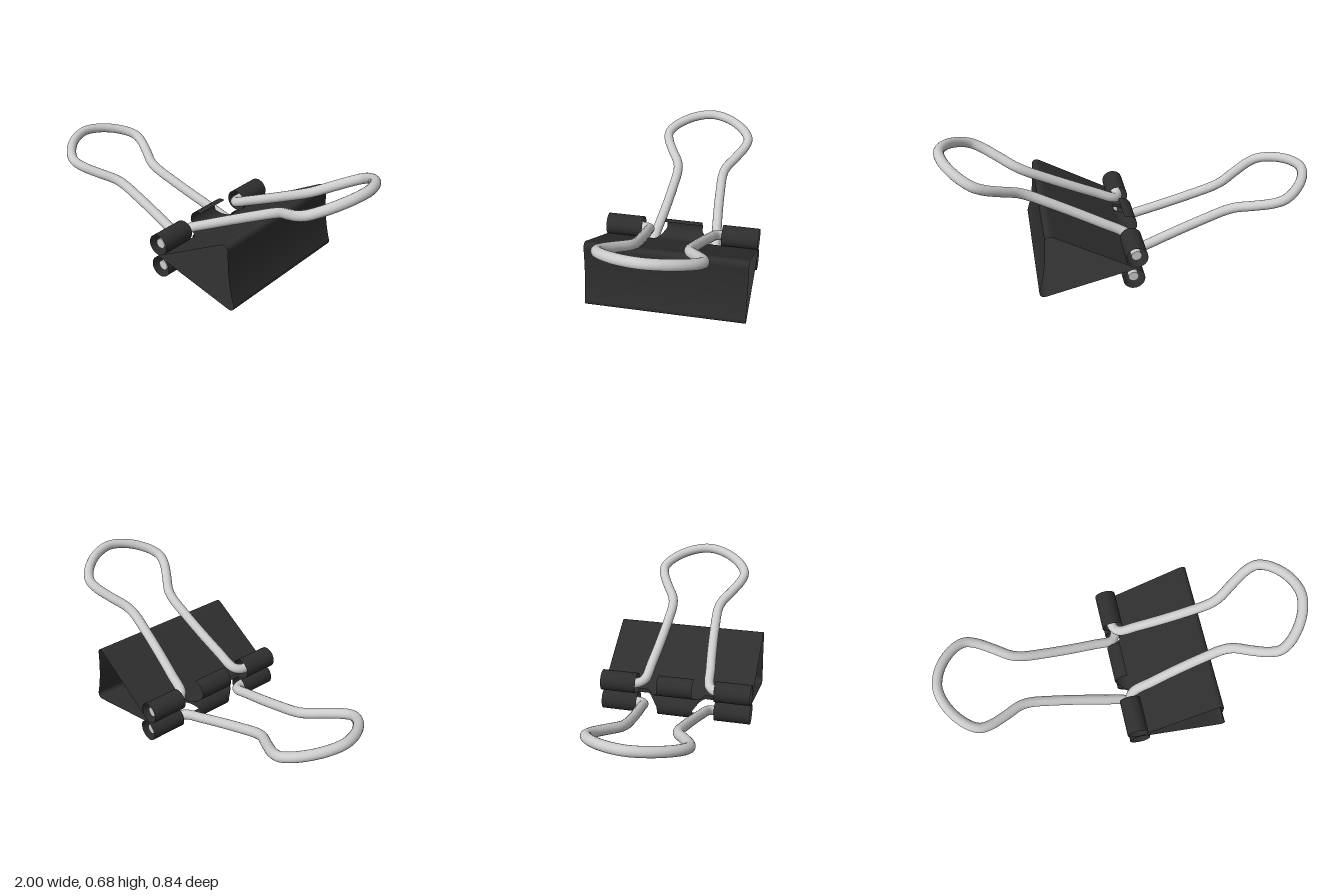
import * as THREE from 'three';
import { ParametricGeometry } from 'three/addons/geometries/ParametricGeometry.js';

const steel = new THREE.MeshStandardMaterial({ color: 0xcccccc });
const black = new THREE.MeshStandardMaterial({ color: 0x2e2e2e, side: THREE.DoubleSide });

const HALF = 0.42;    // half width of the clip
const WIRE = 0.027;   // handle wire radius

// The two jaws: curl centre, curl radius, where the curl leaves the sheet,
// the way it rolls, and the tip of its handle.
const jaws = [
  { name: 'upper', c: [0.02, 0.187], r: 0.057, start: -Math.PI / 3, dir: -1, tip: [0.972, 0.66] },
  { name: 'lower', c: [0.035, 0.061], r: 0.057, start: 1.33, dir: 1, tip: [-0.973, 0.405] },
];

const onCurl = (j, a) => [j.c[0] + j.r * Math.cos(a), j.c[1] + j.r * Math.sin(a)];

// Thin sheet following pointAt(t) in x/y and spanning zRange(t) in z.
function sheet(name, pointAt, zRange, segments) {
  const geometry = new ParametricGeometry((t, v, target) => {
    const [x, y] = pointAt(t);
    const [z0, z1] = zRange(t);
    target.set(x, y, z0 + (z1 - z0) * v);
  }, segments, 4);
  const mesh = new THREE.Mesh(geometry, black);
  mesh.name = name;
  return mesh;
}

// Folded spring body: upper jaw, slightly hollow spine, lower jaw
function makeBody() {
  const path = new THREE.Path();
  path.moveTo(...onCurl(jaws[0], jaws[0].start));
  path.lineTo(0.44, 0.354);
  path.bezierCurveTo(0.465, 0.368, 0.485, 0.358, 0.485, 0.33);
  path.quadraticCurveTo(0.484, 0.17, 0.524, 0.04);
  path.bezierCurveTo(0.533, 0.015, 0.515, -0.004, 0.485, 0.006);
  path.lineTo(...onCurl(jaws[1], jaws[1].start));
  path.arcLengthDivisions = 600;
  return sheet('springBody', t => {
    const p = path.getPointAt(t);
    return [p.x, p.y];
  }, () => [-HALF, HALF], 160);
}

// Rolled lips: an outer pair that holds the wire, and a tapered lug between
function makeLips(j) {
  const group = new THREE.Group();
  group.name = j.name + 'Lips';
  const roll = sweep => t => onCurl(j, j.start + j.dir * sweep * t);
  for (const s of [-1, 1]) {
    group.add(sheet('outerCurl', roll(Math.PI * 1.98), () => [s * 0.22, s * HALF], 40));
  }
  group.add(sheet('centreLug', roll(3.9), t => {
    const w = 0.16 - 0.06 * Math.min(1, t / 0.42);
    return [-w, w];
  }, 30));
  return group;
}

// Bent wire handle, drawn along +x from its hinge and then swung into place
function makeHandle(j) {
  const half = [
    [0, 0.4], [0, 0.3], [0, 0.225], [0.03, 0.185], [0.15, 0.168], [0.3, 0.152], [0.46, 0.14],
    [0.58, 0.136], [0.64, 0.148], [0.73, 0.195], [0.82, 0.237], [0.88, 0.246],
    [0.935, 0.222], [0.99, 0.172], [1.03, 0.115], [1.055, 0.055],
  ];
  const dx = j.tip[0] - j.c[0], dy = j.tip[1] - j.c[1];
  const k = Math.hypot(dx, dy) / 1.064;
  const points = [
    ...half.map(([u, z]) => new THREE.Vector3(u * k, 0, z)),
    new THREE.Vector3(1.064 * k, 0, 0),
    ...half.slice().reverse().map(([u, z]) => new THREE.Vector3(u * k, 0, -z)),
  ];
  const group = new THREE.Group();
  group.name = j.name + 'Handle';
  const curve = new THREE.CatmullRomCurve3(points, false, 'centripetal');
  const wire = new THREE.Mesh(new THREE.TubeGeometry(curve, 220, WIRE, 16), steel);
  wire.name = 'wire';
  group.add(wire);
  // Flat wire ends
  for (const s of [-1, 1]) {
    const cap = new THREE.Mesh(new THREE.CircleGeometry(WIRE, 16), steel);
    cap.name = 'wireEnd';
    cap.position.z = s * 0.4;
    if (s < 0) cap.rotation.y = Math.PI;
    group.add(cap);
  }
  group.position.set(j.c[0], j.c[1], 0);
  group.rotation.z = Math.atan2(dy, dx);
  return group;
}

export function createModel() {
  const model = new THREE.Group();
  model.name = 'binderClip';
  model.add(makeBody());
  for (const j of jaws) model.add(makeLips(j), makeHandle(j));
  return model;
}
